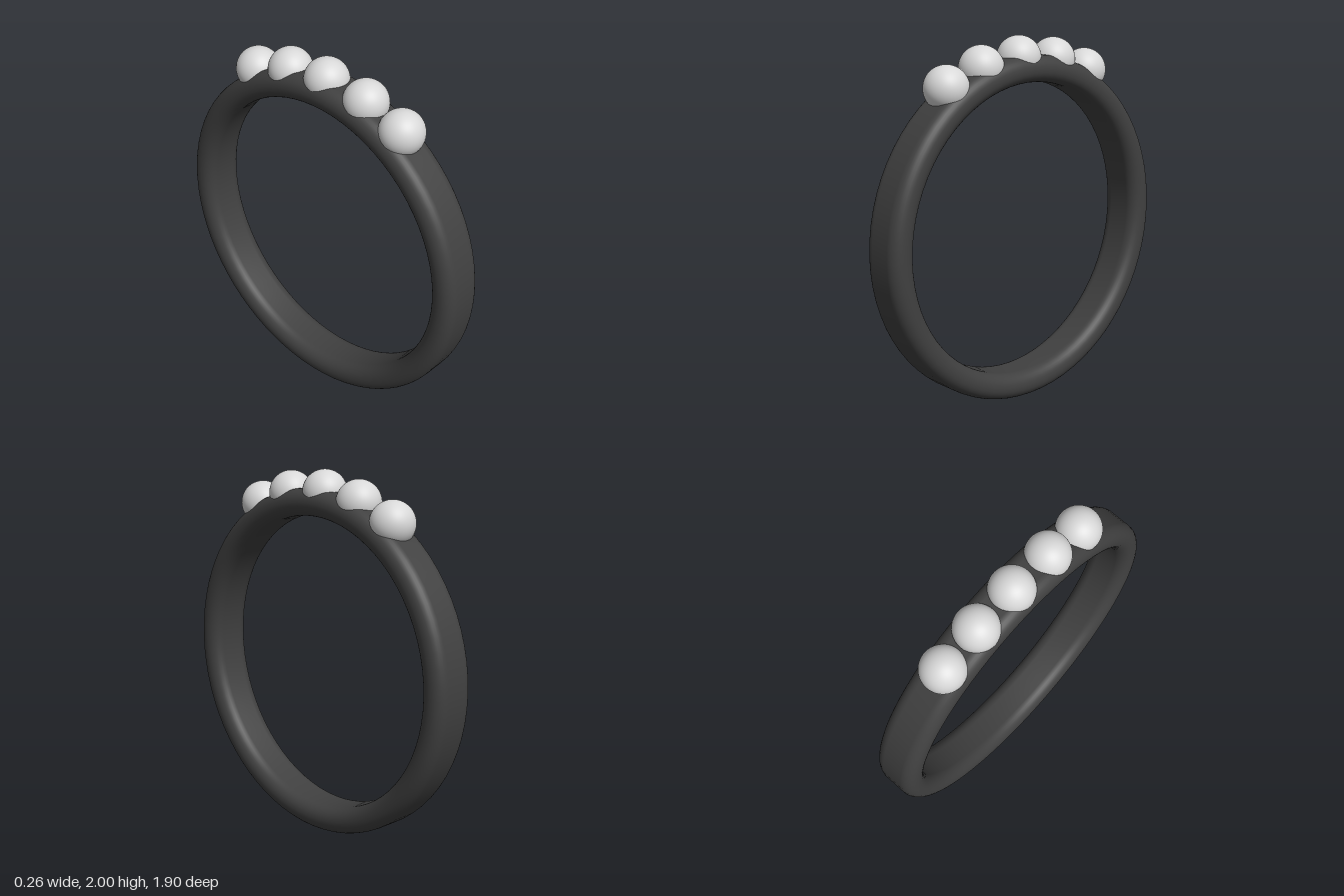
import * as THREE from 'three';

const CENTER_Y = 0.95;
const OUTER = 0.95;
const INNER = 0.805;
const HALF_WIDTH = 0.128;
const CORNER = 0.068;

// Closed rounded-rectangle section of the band: x is radius, y is width
function bandProfile() {
  const points = [new THREE.Vector2(INNER, 0)];
  const corners = [
    [INNER + CORNER, -HALF_WIDTH + CORNER, Math.PI],
    [OUTER - CORNER, -HALF_WIDTH + CORNER, Math.PI * 1.5],
    [OUTER - CORNER, HALF_WIDTH - CORNER, 0],
    [INNER + CORNER, HALF_WIDTH - CORNER, Math.PI * 0.5],
  ];
  const steps = 8;
  for (const [r, w, start] of corners) {
    for (let i = 0; i <= steps; i++) {
      const a = start + (i / steps) * Math.PI * 0.5;
      points.push(new THREE.Vector2(r + CORNER * Math.cos(a), w + CORNER * Math.sin(a)));
    }
  }
  points.push(new THREE.Vector2(INNER, 0));
  return points;
}

export function createModel() {
  const model = new THREE.Group();
  model.name = 'pearlRing';

  const darkMetal = new THREE.MeshStandardMaterial({ color: 0x404040 });
  darkMetal.name = 'dark metal';
  const pearlWhite = new THREE.MeshStandardMaterial({ color: 0xd8d8d8 });
  pearlWhite.name = 'pearl white';

  // Band standing upright, its axis along x
  const bandGeometry = new THREE.LatheGeometry(bandProfile(), 72);
  bandGeometry.rotateZ(Math.PI / 2);
  const band = new THREE.Mesh(bandGeometry, darkMetal);
  band.name = 'band';
  band.position.y = CENTER_Y;
  model.add(band);

  // Five pearls sunk into the top of the band: [y, z]
  const pearlGeometry = new THREE.SphereGeometry(0.121, 40, 28);
  const places = [[1.77, 0.5], [1.85, 0.264], [1.879, 0], [1.85, -0.254], [1.77, -0.495]];
  places.forEach(([y, z], i) => {
    const pearl = new THREE.Mesh(pearlGeometry, pearlWhite);
    pearl.name = `pearl${i + 1}`;
    pearl.position.set(0, y, z);
    model.add(pearl);
  });

  return model;
}
